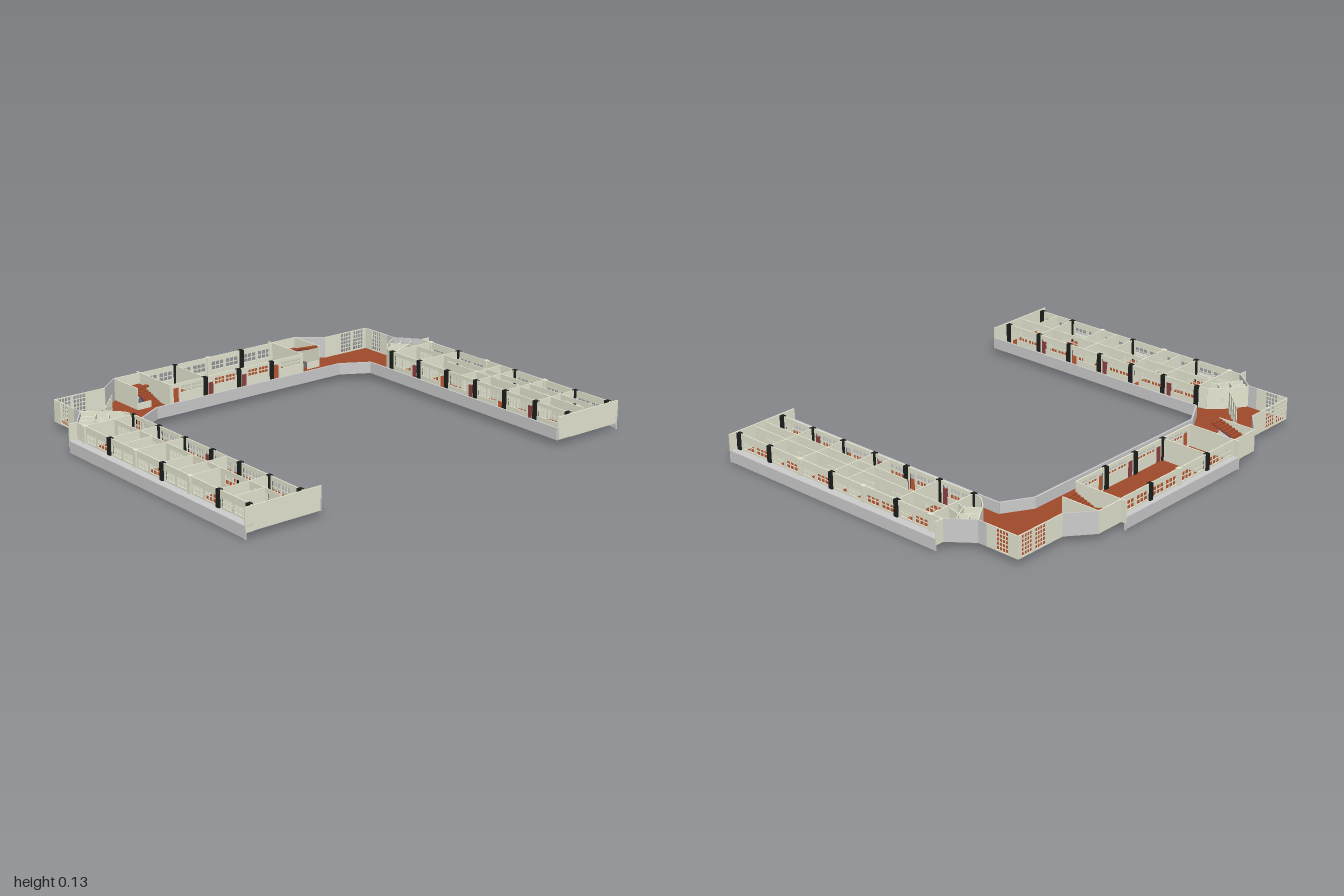
import * as THREE from 'three';
import { mergeGeometries } from 'three/addons/utils/BufferGeometryUtils.js';

const FLOOR = 0.03, TOP = 0.13, T = 0.005;
const mat = (color) => new THREE.MeshStandardMaterial({ color, side: THREE.DoubleSide });

export function createModel() {
  const model = new THREE.Group();
  const cream = mat(0xe6e6d2), grey = mat(0xcccccc), black = mat(0x1c1e1c);
  const brick = mat(0xa04a2a), blue = mat(0x1a1ac0), red = mat(0x8c4040), under = mat(0x808080);

  const add = (name, geo, material) => {
    const m = new THREE.Mesh(geo, material);
    m.name = name;
    model.add(m);
    return m;
  };
  const boxGeo = (x0, x1, y0, y1, z0, z1) =>
    new THREE.BoxGeometry(Math.abs(x1 - x0), y1 - y0, Math.abs(z1 - z0))
      .translate((x0 + x1) / 2, (y0 + y1) / 2, (z0 + z1) / 2);
  const box = (name, m, ...b) => add(name, boxGeo(...b), m);

  // Wall between plan points a and b; openings are [u0, u1, y0, y1, columns, rows]
  function wall(name, a, b, { y0 = FLOOR, y1 = TOP, t = T, m = cream, openings = [] } = {}) {
    const dx = b[0] - a[0], dz = b[1] - a[1], L = Math.hypot(dx, dz);
    const rect = (C, u0, u1, v0, v1) => {
      const s = new C();
      s.moveTo(u0, v0); s.lineTo(u1, v0); s.lineTo(u1, v1); s.lineTo(u0, v1); s.closePath();
      return s;
    };
    const shape = rect(THREE.Shape, 0, L, y0, y1);
    for (const [u0, u1, v0, v1] of openings) shape.holes.push(rect(THREE.Path, u0, u1, v0, v1));
    const parts = [new THREE.ExtrudeGeometry(shape, { depth: t, bevelEnabled: false })
      .translate(0, 0, -t / 2).toNonIndexed?.() ];
    const bar = 0.0015;
    for (const [u0, u1, v0, v1, nx = 1, ny = 1] of openings) {
      for (let i = 1; i < nx; i++) {
        const u = u0 + (u1 - u0) * i / nx;
        parts.push(boxGeo(u - bar, u + bar, v0, v1, -bar, bar).toNonIndexed());
      }
      for (let j = 1; j < ny; j++) {
        const v = v0 + (v1 - v0) * j / ny;
        parts.push(boxGeo(u0, u1, v - bar, v + bar, -bar, bar).toNonIndexed());
      }
    }
    const geo = mergeGeometries(parts).rotateY(-Math.atan2(dz, dx)).translate(a[0], 0, a[1]);
    return add(name, geo, m);
  }
  const path = (name, pts, opt) => pts.slice(1).forEach((p, i) => wall(name, pts[i], p, opt));

  // Floor outline, mirrored front to back, with two stair openings
  const outer = [[0.82, 0.96], [-0.39, 0.96], [-0.5, 0.875], [-0.705, 0.875], [-0.705, 0.62], [-0.795, 0.51]];
  const inner = [[-0.465, 0.51], [-0.39, 0.64], [0.82, 0.64]];
  const flip = (pts) => pts.map(([x, z]) => [x, -z]).reverse();
  const outline = [...outer, ...flip(outer), ...flip(inner), ...inner];
  const slab = new THREE.Shape(outline.map(([x, z]) => new THREE.Vector2(x, z)));
  for (const s of [1, -1]) {
    slab.holes.push(new THREE.Path([[-0.785, 0.38], [-0.61, 0.38], [-0.61, 0.505], [-0.785, 0.505]]
      .map(([x, z]) => new THREE.Vector2(x, z * s))));
  }
  add('floor', new THREE.ShapeGeometry(slab).rotateX(Math.PI / 2).translate(0, FLOOR, 0), brick);
  add('floorUnderside', new THREE.ExtrudeGeometry(slab, { depth: 0.003, bevelEnabled: false })
    .rotateX(Math.PI / 2).translate(0, FLOOR - 0.001, 0), under);

  // Parapet around the courtyard
  path('courtyardParapet', [...flip(inner), ...inner].sort((p, q) => p[1] - q[1] || 0).length
    ? [...flip(inner), ...inner] : [], { y0: 0.027, y1: 0.08, t: 0.008, m: grey });

  // Stair flight of stepped treads with a sloping coloured soffit
  function flight(z0, z1, xa, ya, xb, yb) {
    const n = 9, s = new THREE.Shape();
    s.moveTo(xa, ya);
    for (let i = 0; i < n; i++) {
      const y = ya + (yb - ya) * (i + 1) / n;
      s.lineTo(xa + (xb - xa) * i / n, y);
      s.lineTo(xa + (xb - xa) * (i + 1) / n, y);
    }
    s.lineTo(xb, yb - 0.008);
    s.lineTo(xa, ya - 0.003);
    const w = Math.abs(z1 - z0), z = Math.min(z0, z1);
    add('stairFlight', new THREE.ExtrudeGeometry(s, { depth: w, bevelEnabled: false }).translate(0, 0, z), brick);
    const soffit = new THREE.PlaneGeometry(Math.hypot(xb - xa, yb - ya), w).rotateX(Math.PI / 2)
      .rotateZ(Math.atan((yb - ya) / (xb - xa)))
      .translate((xa + xb) / 2, (ya + yb) / 2 - 0.0075, (z0 + z1) / 2);
    add('stairSoffit', soffit, blue);
  }

  const cols = [-0.33, -0.142, 0.045, 0.232, 0.418, 0.605, 0.795];
  const column = (x, z, m) => box('column', m, x - 0.01, x + 0.01, FLOOR, TOP + 0.001, z - 0.01, z + 0.01);

  for (const s of [1, -1]) {
    const P = (x, z) => [x, z * s];

    // Outer arm wall: two windows in each bay
    const win = [], hall = [];
    for (let i = 0; i < 6; i++) {
      const u = cols[i] + 0.39;
      win.push([u + 0.018, u + 0.086, 0.064, 0.1, 3, 2], [u + 0.1, u + 0.168, 0.064, 0.1, 3, 2]);
      // Corridor wall: a window pair and a door in each bay
      const v = cols[i] + 0.33;
      hall.push([v + 0.016, v + 0.068, 0.065, 0.112, 3, 2], [v + 0.076, v + 0.128, 0.065, 0.112, 3, 2]);
      if (i % 2) hall.push([v + 0.14, v + 0.172, 0.031, 0.105]);
      else {
        hall.push([v + 0.14, v + 0.172, 0.065, 0.112, 2, 2]);
        box('door', red, cols[i] + 0.145, cols[i] + 0.167, FLOOR, 0.1, s * 0.716, s * 0.724);
      }
    }
    wall('outerArmWall', P(-0.39, 0.96), P(0.82, 0.96), { openings: win });
    wall('corridorWall', P(-0.33, 0.72), P(0.82, 0.72), { openings: hall });
    cols.forEach((x, i) => {
      column(x, 0.72 * s, black);
      column(x, 0.96 * s, i % 2 || i === 6 ? black : cream);
    });

    // Sunshade ledge along the outer side, and the end wall of the arm
    box('ledgeTop', grey, -0.39, 0.82, 0.052, 0.056, s * 0.96, s * 1.0);
    box('ledgeFace', grey, -0.39, 0.82, 0.004, 0.056, s * 0.996, s * 1.0);
    box('ledgeCap', cream, -0.394, -0.388, FLOOR, TOP, s * 0.957, s * 1.0);
    box('endWall', cream, 0.814, 0.82, 0.027, TOP, s * 0.636, s * 1.0);
    box('endWallDrop', grey, 0.814, 0.82, 0.0, 0.03, s * 0.994, s * 1.0);

    // Room partitions in the arm
    const zMid = s > 0 ? 0.815 : 0.87;
    const mid = [];
    for (let i = 0; i < 6; i++) mid.push([cols[i] + 0.36, cols[i] + 0.45, 0.07, 0.11, 4, 2]);
    wall('lengthPartition', P(-0.33, zMid), P(0.8, zMid), { t: 0.004, openings: mid });
    wall('outerCrossWall', P(-0.33, 0.72), P(-0.33, 0.96));
    const crosses = s > 0 ? [-0.142, -0.05, 0.045, 0.232, 0.33, 0.418, 0.605, 0.7] : [-0.142, 0.14, 0.232, 0.418, 0.605];
    crosses.forEach((x, i) => wall('crossPartition', P(x, i % 2 && s > 0 ? zMid : 0.72), P(x, 0.96), { t: 0.004 }));
    if (s < 0) wall('secondPartition', P(-0.05, 0.81), P(0.8, 0.81), { t: 0.004 });

    // Corner block: windowed outside walls and angled links
    wall('cornerEndWall', P(-0.705, 0.875), P(-0.545, 0.875),
      { openings: [[0.05, 0.11, 0.036, 0.126, 4, 5]] });
    path('cornerLink', [P(-0.545, 0.875), P(-0.5, 0.875), P(-0.39, 0.96)], { m: grey });
    wall('cornerSideWall', P(-0.705, 0.62), P(-0.705, 0.875),
      { openings: [[0.1, 0.16, 0.036, 0.126, 4, 5], [0.175, 0.235, 0.036, 0.126, 4, 5]] });
    wall('angledWall', P(-0.705, 0.62), P(-0.795, 0.51), { m: grey });

    // Washroom partitions fanning across the bend
    path('washroomWall', [P(-0.5, 0.875), P(-0.43, 0.775), P(-0.38, 0.73), P(-0.33, 0.72)], { t: 0.004 });
    for (const [a, b] of [[[-0.465, 0.9], [-0.43, 0.85]], [[-0.43, 0.927], [-0.395, 0.875]],
      [[-0.46, 0.82], [-0.395, 0.875]], [[-0.395, 0.875], [-0.33, 0.86]], [[-0.43, 0.775], [-0.37, 0.82]],
      [[-0.37, 0.82], [-0.33, 0.81]], [[-0.37, 0.82], [-0.395, 0.875]]]) {
      wall('stallPartition', P(...a), P(...b), { t: 0.004, y1: 0.12 });
    }
    if (s > 0) {
      for (let i = 0; i < 4; i++) {
        const f = i / 4, x = -0.6 + 0.14 * f, z = 0.65 + 0.13 * f;
        wall('screen', [x, z], [x + 0.02, z + 0.0186], { t: 0.004 });
      }
    }

    // Stairwell: enclosing walls, two flights, landing and rail
    wall('stairSideWall', P(-0.795, 0.51), P(-0.61, 0.51));
    wall('stairBackWall', P(-0.795, 0.51), P(-0.795, 0.375));
    flight(s * 0.382, s * 0.44, -0.615, FLOOR, -0.765, 0.08);
    flight(s * 0.446, s * 0.505, -0.765, 0.08, -0.615, TOP);
    box('stairLanding', brick, -0.793, -0.765, 0.074, 0.08, s * 0.38, s * 0.507);
    box('stairRail', cream, -0.614, -0.609, FLOOR, 0.06, s * 0.44, s * 0.51);

    // End walls of the middle rooms, reaching out past the ledge
    wall('roomEndWall', P(-0.82, 0.372), P(-0.56, 0.372));
    box('ledgeEndDrop', grey, -0.82, -0.814, 0, 0.03, s * 0.369, s * 0.375);
  }

  // Middle rooms: windowed walls on the outside and facing the courtyard
  const outWin = [], inWin = [];
  for (let i = 0; i < 4; i++) {
    const u = i * 0.186;
    outWin.push([u + 0.018, u + 0.086, 0.064, 0.105, 3, 2], [u + 0.1, u + 0.168, 0.064, 0.105, 3, 2]);
    inWin.push([u + 0.018, u + 0.07, 0.085, 0.115, 3, 2], [u + 0.078, u + 0.13, 0.085, 0.115, 3, 2]);
    if (i === 0 || i === 3) inWin.push([u + 0.14, u + 0.17, 0.031, 0.11]);
    else box('door', red, -0.564, -0.556, FLOOR, 0.1, u - 0.23, u - 0.205);
  }
  wall('middleOuterWall', [-0.79, -0.372], [-0.79, 0.372], { openings: outWin });
  wall('middleCourtWall', [-0.56, -0.372], [-0.56, 0.372], { openings: inWin });
  wall('middleCrossWall', [-0.79, 0.185], [-0.56, 0.185]);
  for (const z of [-0.187, 0, 0.185]) {
    column(-0.79, z, z ? black : cream);
    column(-0.56, z, black);
  }
  box('middleLedgeTop', grey, -0.82, -0.79, 0.052, 0.056, -0.372, 0.372);
  box('middleLedgeFace', grey, -0.82, -0.816, 0.004, 0.056, -0.372, 0.372);

  return model;
}
